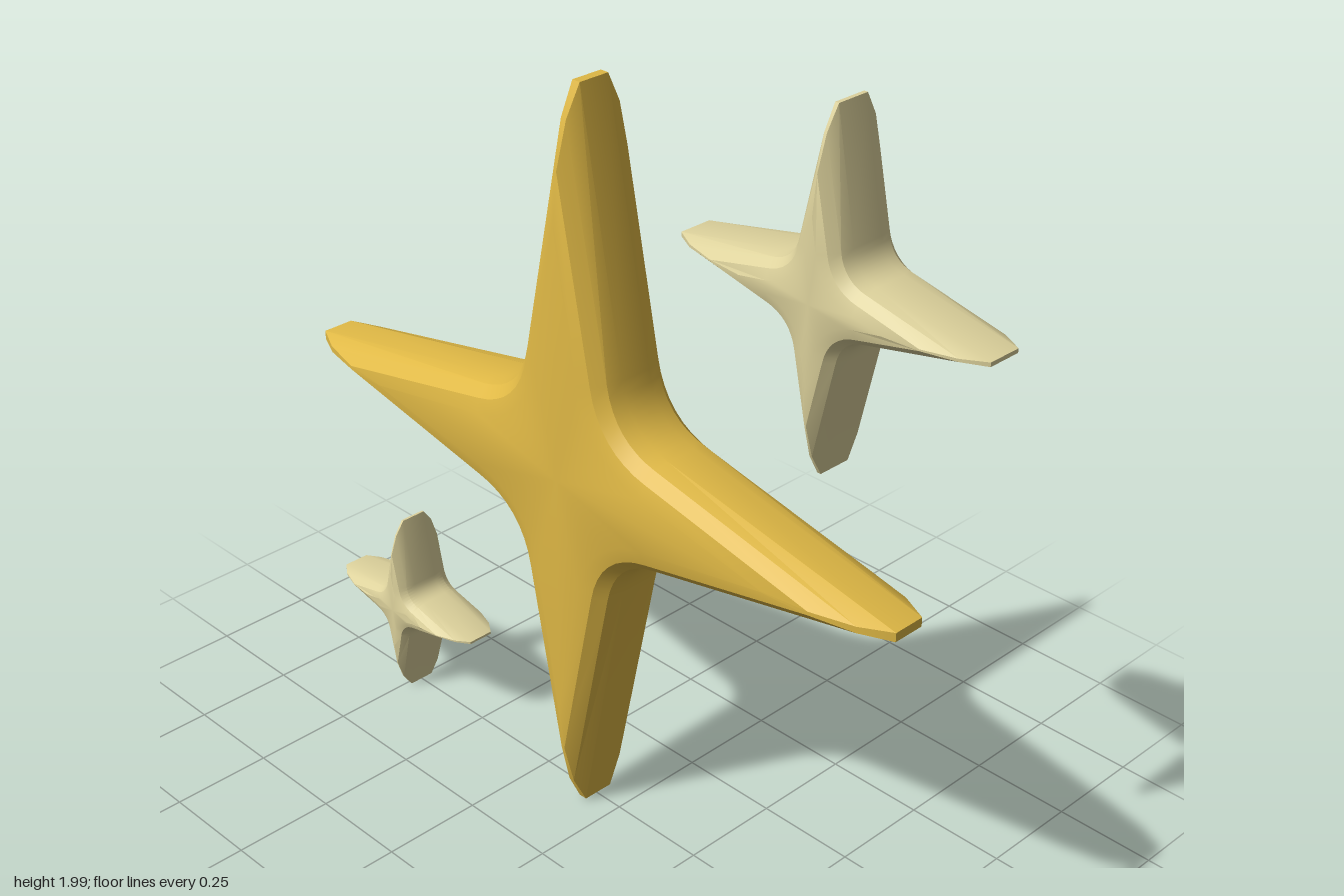
import * as THREE from 'three';
import { toCreasedNormals } from 'three/addons/utils/BufferGeometryUtils.js';

const FILLET_STEPS = 8;

// Closed four-pointed outline, counter-clockwise, pulled inwards by `inset`.
function starOutline(radius, inset, tip, cap) {
  const k = radius / 0.915;
  const a = new THREE.Vector2(0.275, 0.135).multiplyScalar(k);
  const c = new THREE.Vector2(0.158, 0.158).multiplyScalar(k);
  const b = new THREE.Vector2(0.135, 0.275).multiplyScalar(k);
  const curve = new THREE.QuadraticBezierCurve(a, c, b);
  const quarter = [new THREE.Vector2(tip, cap)];
  for (let i = 0; i <= FILLET_STEPS; i++) {
    const p = curve.getPoint(i / FILLET_STEPS);
    const t = curve.getTangent(i / FILLET_STEPS);
    quarter.push(new THREE.Vector2(p.x - t.y * inset, p.y + t.x * inset));
  }
  quarter.push(new THREE.Vector2(cap, tip));
  const points = [];
  for (let q = 0; q < 4; q++) {
    for (const p of quarter) {
      points.push(p.clone().rotateAround(new THREE.Vector2(), q * Math.PI / 2));
    }
  }
  return points;
}

// Star with rounded bevels: outlines stacked from front to back.
function starGeometry({ radius, bevel, shoulder, half, tipInset }) {
  const front = [];
  for (let i = 3; i >= 0; i--) {
    const angle = i * Math.PI / 6;
    const inset = bevel * (1 - Math.cos(angle));
    const tip = radius - tipInset * [0, 0.24, 0.6, 1][i];
    const cap = radius * 0.012 * (1 - i * 0.3);
    front.push({
      z: shoulder + (half - shoulder) * Math.sin(angle),
      points: starOutline(radius, inset, tip, cap),
    });
  }
  const back = front.slice().reverse().map(({ z, points }) => ({ z: -z, points }));
  const rings = [...front, ...back];

  const positions = [];
  const index = [];
  for (const { z, points } of rings) {
    for (const p of points) positions.push(p.x, p.y, z);
  }
  const n = rings[0].points.length;
  const frontCentre = positions.length / 3;
  const backCentre = frontCentre + 1;
  positions.push(0, 0, half, 0, 0, -half);
  const last = (rings.length - 1) * n;
  for (let j = 0; j < n; j++) {
    const k = (j + 1) % n;
    index.push(frontCentre, j, k);
    index.push(backCentre, last + k, last + j);
    for (let r = 0; r < rings.length - 1; r++) {
      const u = r * n;
      const v = u + n;
      index.push(u + j, v + j, v + k, u + j, v + k, u + k);
    }
  }
  const geometry = new THREE.BufferGeometry();
  geometry.setAttribute('position', new THREE.Float32BufferAttribute(positions, 3));
  geometry.setIndex(index);
  return toCreasedNormals(geometry, 0.4);
}

export function createModel() {
  const gold = new THREE.MeshStandardMaterial({ color: 0xdfb845 });
  gold.name = 'gold';
  const paleGold = new THREE.MeshStandardMaterial({ color: 0xddd29c });
  paleGold.name = 'pale gold';

  const stars = [
    { name: 'largeStar', x: -0.085, y: 0.925, material: gold,
      radius: 0.915, bevel: 0.07, shoulder: 0.04, half: 0.112, tipInset: 0.3 },
    { name: 'mediumStar', x: 0.61, y: 1.6, material: paleGold,
      radius: 0.39, bevel: 0.045, shoulder: 0.04, half: 0.096, tipInset: 0.21 },
    { name: 'smallStar', x: -0.742, y: 0.252, material: paleGold,
      radius: 0.247, bevel: 0.03, shoulder: 0.033, half: 0.08, tipInset: 0.14 },
  ];

  const group = new THREE.Group();
  group.name = 'sparkles';
  for (const star of stars) {
    const mesh = new THREE.Mesh(starGeometry(star), star.material);
    mesh.name = star.name;
    mesh.position.set(star.x, star.y, 0);
    group.add(mesh);
  }
  return group;
}
